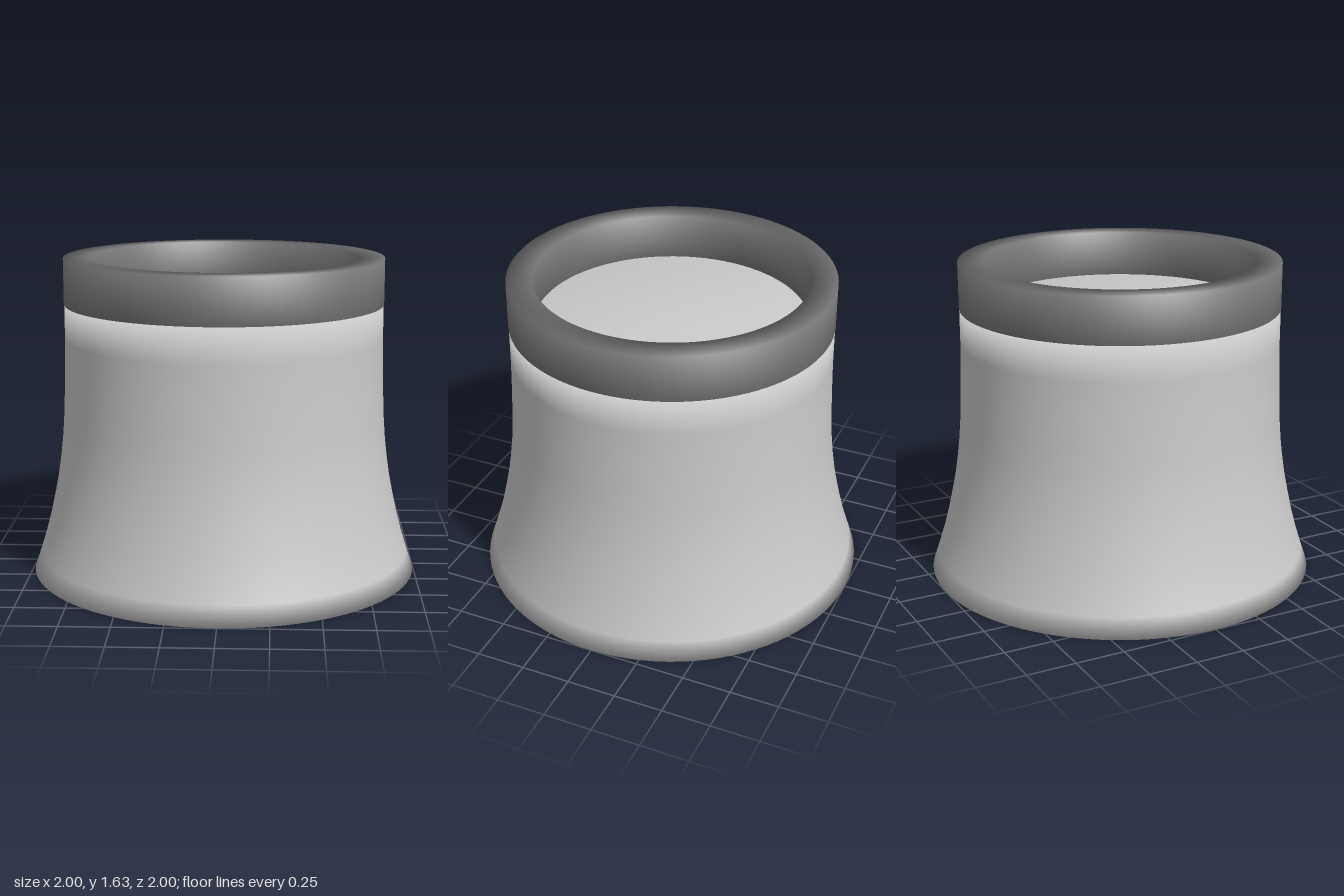
import * as THREE from 'three';

const SIDES = 96;

// Turn [radius, height] pairs around the y axis; corners keep soft, shared normals
function turned(name, points, color) {
  const profile = points.map(([r, y]) => new THREE.Vector2(r, y));
  const geometry = new THREE.LatheGeometry(profile, SIDES);
  const mesh = new THREE.Mesh(geometry, new THREE.MeshStandardMaterial({ color }));
  mesh.name = name;
  return mesh;
}

export function createModel() {
  const group = new THREE.Group();
  group.name = 'coolingTower';

  // Flared shell, closed by a flat floor and a flat lid
  const shell = [
    [0, 0], [0.85, 0], [1, 0], [0.966, 0.1], [0.935, 0.2], [0.909, 0.3],
    [0.887, 0.4], [0.867, 0.5], [0.852, 0.6], [0.84, 0.7], [0.832, 0.8],
    [0.825, 0.95], [0.82, 1.1], [0.818, 1.22], [0.818, 1.4], [0, 1.4],
  ];
  group.add(turned('towerShell', shell, 0xcccccc));

  // Dark square-section rim standing on the lid, seam hidden underneath
  const rim = [
    [0.755, 1.4], [0.82, 1.4], [0.82, 1.635], [0.688, 1.635], [0.688, 1.4], [0.755, 1.4],
  ];
  group.add(turned('topRim', rim, 0x777777));

  return group;
}
